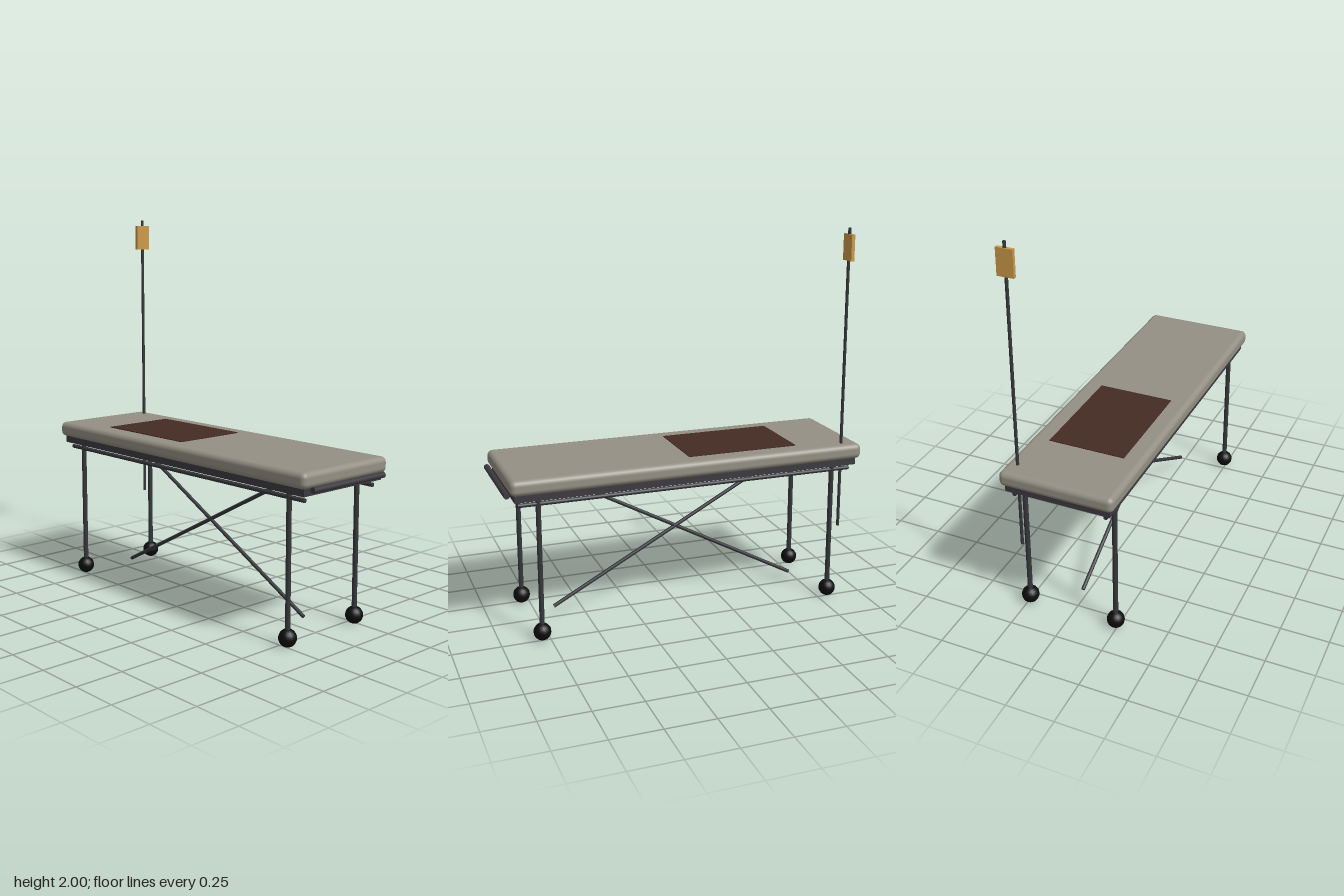
import * as THREE from 'three';
import { RoundedBoxGeometry } from 'three/addons/geometries/RoundedBoxGeometry.js';

const makeMaterial = (name, color) => {
  const m = new THREE.MeshStandardMaterial({ color });
  m.name = name;
  return m;
};

export function createModel() {
  const group = new THREE.Group();
  const padding = makeMaterial('greyPadding', 0x949084);
  const frameMetal = makeMaterial('frameMetal', 0x3c3a40);
  const tubeMetal = makeMaterial('tubeMetal', 0x36373b);
  const rubber = makeMaterial('blackRubber', 0x0c0c0c);
  const cloth = makeMaterial('brownCloth', 0x452c23);
  const amber = makeMaterial('amberBag', 0xcc9a4a);

  const add = (name, geometry, material, x = 0, y = 0, z = 0) => {
    const mesh = new THREE.Mesh(geometry, material);
    mesh.name = name;
    mesh.position.set(x, y, z);
    group.add(mesh);
    return mesh;
  };
  // Straight tube between two points
  const rod = (name, from, to, radius, material, sides = 12) => {
    const a = new THREE.Vector3(...from), b = new THREE.Vector3(...to);
    const dir = b.clone().sub(a);
    const mesh = add(name, new THREE.CylinderGeometry(radius, radius, dir.length(), sides), material);
    mesh.position.copy(a).add(b).multiplyScalar(0.5);
    mesh.quaternion.setFromUnitVectors(new THREE.Vector3(0, 1, 0), dir.normalize());
  };

  const midZ = -0.01;

  // Padded top, bed frame and folded cloth
  add('mattress', new RoundedBoxGeometry(0.594, 0.08, 1.894, 3, 0.028), padding, 0, 0.825, midZ - 0.002);
  add('bedFrame', new THREE.BoxGeometry(0.548, 0.036, 1.846), frameMetal, 0, 0.768, midZ);
  add('cloth', new THREE.BoxGeometry(0.4, 0.006, 0.6), cloth, 0, 0.866, -0.313);

  // Push handle across the front end
  rod('pushHandle', [-0.25, 0.783, 0.945], [0.25, 0.783, 0.945], 0.015, frameMetal);

  // Side rails, legs and ball casters
  for (const x of [-0.24, 0.24]) {
    rod('sideRail', [x, 0.725, midZ - 0.9], [x, 0.725, midZ + 0.9], 0.011, tubeMetal);
    for (const z of [midZ - 0.8, midZ + 0.8]) {
      rod('leg', [x, 0.05, z], [x, 0.76, z], 0.013, tubeMetal);
      add('caster', new THREE.SphereGeometry(0.045, 16, 12), rubber, x, 0.045, z);
    }
  }

  // Crossed braces along the centre line
  for (const s of [-1, 1]) {
    rod('crossBrace', [0, 0.06, midZ + s * 0.68], [0, 0.78, midZ - s * 0.66], 0.01, tubeMetal);
  }

  // Drip pole with hanging bag
  rod('dripPole', [0.24, 0.4, -0.862], [0.24, 2, -0.862], 0.008, tubeMetal);
  add('dripBag', new THREE.BoxGeometry(0.086, 0.135, 0.018), amber, 0.24, 1.902, -0.862);

  return group;
}
